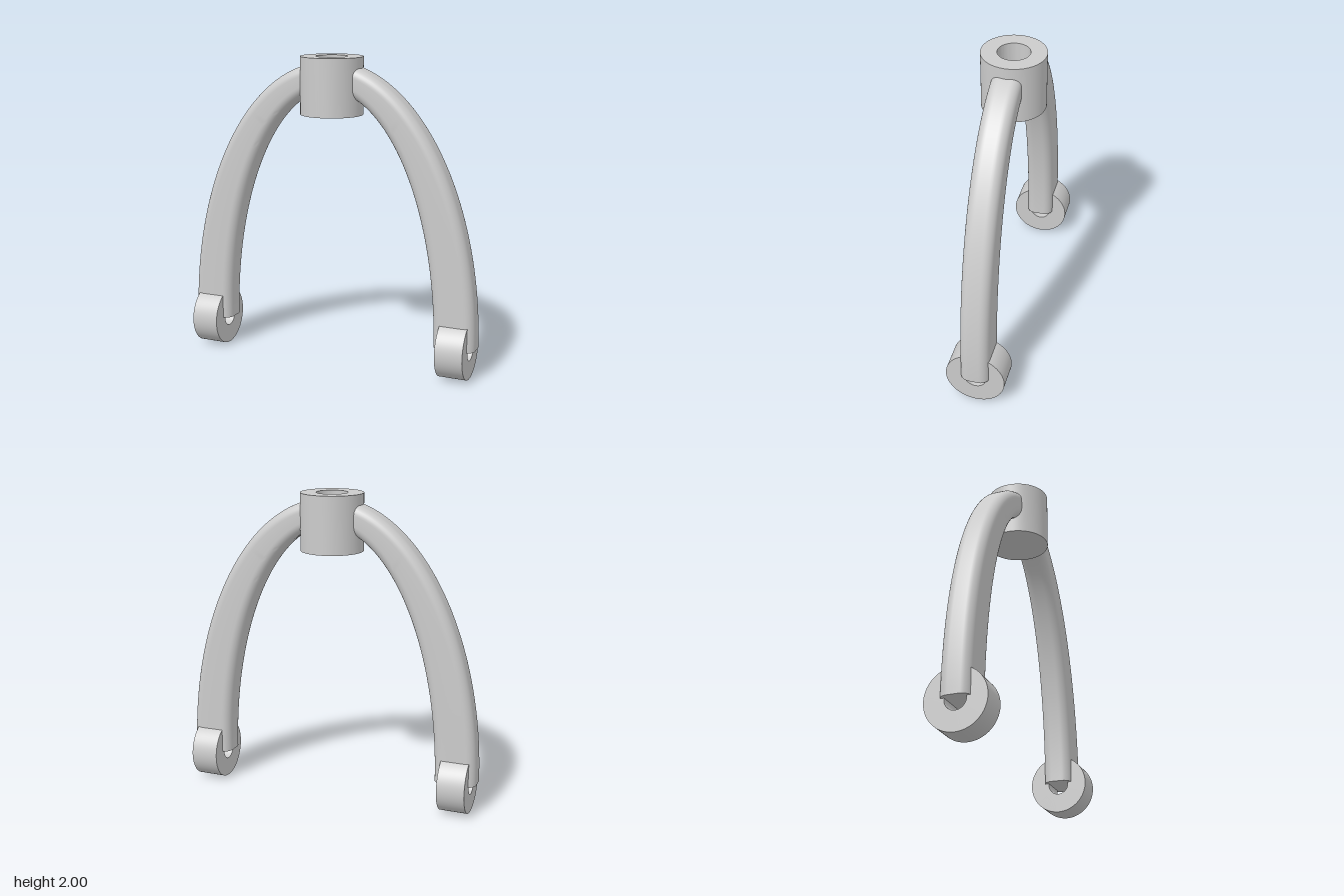
import * as THREE from 'three';
import { toCreasedNormals } from 'three/addons/utils/BufferGeometryUtils.js';

const material = new THREE.MeshStandardMaterial({ color: 0xcccccc });

function addMesh(parent, name, geometry) {
  const mesh = new THREE.Mesh(toCreasedNormals(geometry, 0.6), material);
  mesh.name = name;
  parent.add(mesh);
  return mesh;
}

function lathe(points) {
  return new THREE.LatheGeometry(points.map(([x, y]) => new THREE.Vector2(x, y)), 72);
}

// Rounded rectangle centred on the origin, as [across, depth] pairs
function roundedSection(halfAcross, halfDepth, radius, steps = 8) {
  const loop = [];
  [[1, 1], [-1, 1], [-1, -1], [1, -1]].forEach(([su, sw], corner) => {
    for (let k = 0; k <= steps; k++) {
      const a = (corner + k / steps) * Math.PI / 2;
      loop.push([
        su * (halfAcross - radius) + radius * Math.cos(a),
        sw * (halfDepth - radius) + radius * Math.sin(a),
      ]);
    }
  });
  return loop;
}

// Arm swept between an outer and an inner quarter ellipse
function armGeometry() {
  const baseY = 0.2, rings = 56, endAngle = Math.acos(0.15 / 0.99);
  const positions = [], index = [];
  let n = 0;
  for (let i = 0; i <= rings; i++) {
    const t = endAngle * i / rings, c = Math.cos(t), s = Math.sin(t);
    const outer = new THREE.Vector2(0.99 * c, baseY + 1.767 * s);
    const inner = new THREE.Vector2(0.72 * c, baseY + 1.59 * s);
    const mid = outer.clone().add(inner).multiplyScalar(0.5);
    const dir = outer.clone().sub(inner);
    const half = dir.length() / 2;
    dir.normalize();
    const loop = roundedSection(half, 0.093, 0.06);
    n = loop.length;
    for (const [u, w] of loop) positions.push(mid.x + dir.x * u, mid.y + dir.y * u, w);
  }
  for (let i = 0; i < rings; i++) {
    for (let j = 0; j < n; j++) {
      const k = (j + 1) % n;
      const a = i * n + j, b = i * n + k, c = a + n, d = b + n;
      index.push(a, c, b, b, c, d);
    }
  }
  // flat end caps
  const last = rings * n;
  for (let j = 1; j < n - 1; j++) {
    index.push(0, j, j + 1, last, last + j + 1, last + j);
  }
  const geometry = new THREE.BufferGeometry();
  geometry.setAttribute('position', new THREE.Float32BufferAttribute(positions, 3));
  geometry.setIndex(index);
  return geometry;
}

export function createModel() {
  const model = new THREE.Group();
  model.name = 'yoke';

  // Central hub with a blind bore open at the top
  addMesh(model, 'hub', lathe([
    [0, 1.635], [0.2, 1.635], [0.2, 2], [0.1, 2], [0.1, 1.73], [0, 1.73],
  ]));

  // Two identical legs, one turned half way round
  for (const [side, angle] of [['left', 0], ['right', Math.PI]]) {
    const leg = new THREE.Group();
    leg.name = side + 'Leg';
    leg.rotation.y = angle;
    addMesh(leg, side + 'Arm', armGeometry());

    // Pivot eye with its bore along x
    const eye = addMesh(leg, side + 'PivotEye', lathe([
      [0.067, -0.09], [0.19, -0.09], [0.19, 0.09], [0.067, 0.09], [0.067, -0.09],
    ]));
    eye.rotation.z = Math.PI / 2;
    eye.position.set(0.86, 0.19, 0);
    model.add(leg);
  }
  return model;
}
